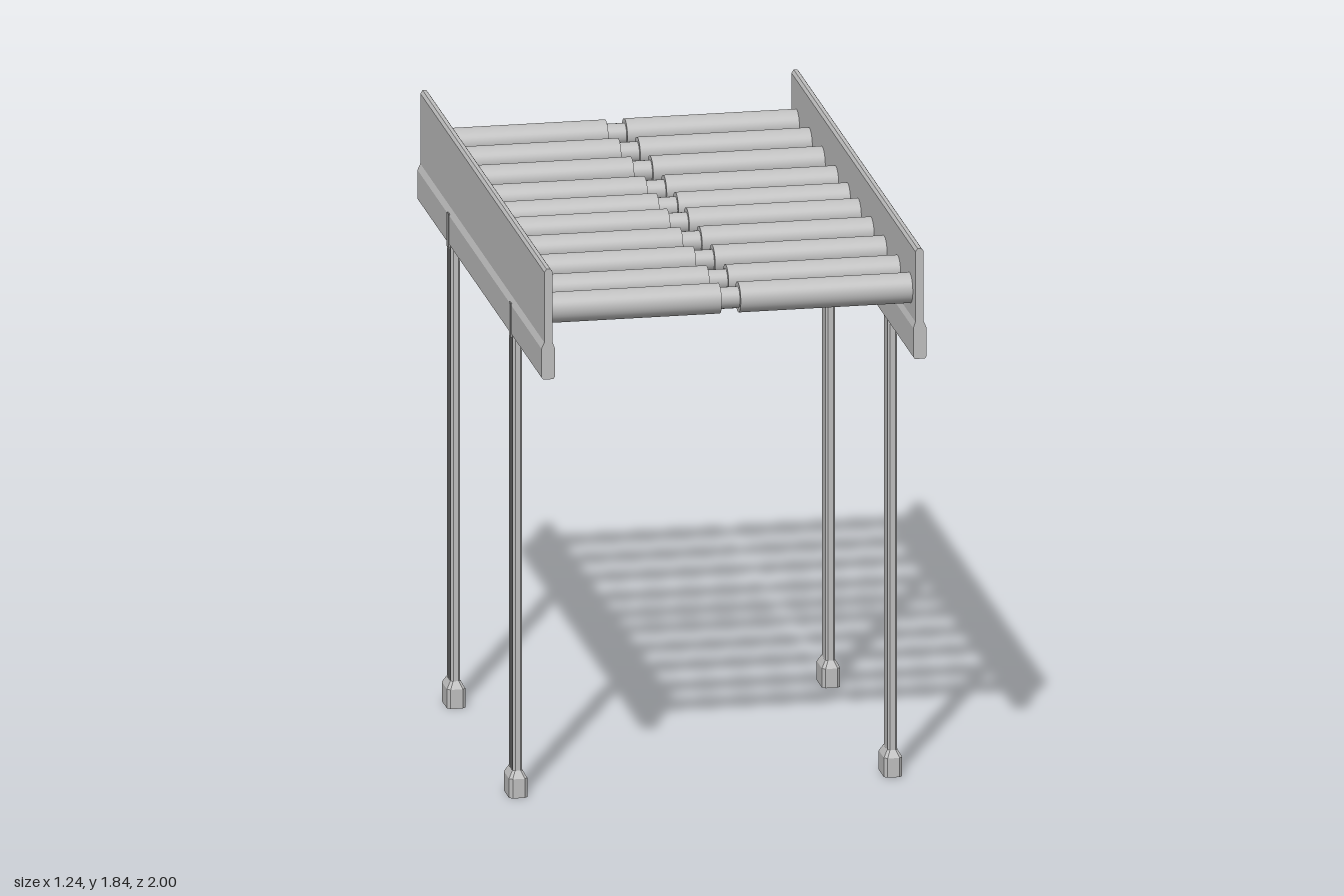
import * as THREE from 'three';

const metal = new THREE.MeshStandardMaterial({ color: 0xbfbfbf, side: THREE.DoubleSide });
metal.name = 'grey metal';

function add(parent, geometry, name, x = 0, y = 0, z = 0) {
  const mesh = new THREE.Mesh(geometry, metal);
  mesh.name = name;
  mesh.position.set(x, y, z);
  parent.add(mesh);
  return mesh;
}

function extrude(points, depth) {
  const shape = new THREE.Shape(points.map(([x, y]) => new THREE.Vector2(x, y)));
  return new THREE.ExtrudeGeometry(shape, { depth, bevelEnabled: false });
}

// Open flat-shaded skin through chamfered rectangles [y, halfX, halfZ, chamfer]
function loft(rings) {
  const pos = [], index = [];
  for (const [y, a, b, c] of rings) {
    for (const [x, z] of [[a, b - c], [a, c - b], [a - c, -b], [c - a, -b],
      [-a, c - b], [-a, b - c], [c - a, b], [a - c, b]]) pos.push(x, y, z);
  }
  for (let r = 0; r < rings.length - 1; r++) {
    for (let i = 0; i < 8; i++) {
      const j = (i + 1) % 8, p = r * 8 + i, q = r * 8 + j;
      index.push(p, q, p + 8, q, q + 8, p + 8);
    }
  }
  const g = new THREE.BufferGeometry();
  g.setAttribute('position', new THREE.Float32BufferAttribute(pos, 3));
  g.setIndex(index);
  const flat = g.toNonIndexed();
  flat.computeVertexNormals();
  return flat;
}

// Side rail with a thick lower lip, plus two legs; built for the +x side
function createSide(name) {
  const side = new THREE.Group();
  side.name = name;

  const rail = extrude([
    [0.572, 1.485], [0.604, 1.485], [0.609, 1.492], [0.609, 1.585], [0.6, 1.605],
    [0.6, 1.832], [0.593, 1.842], [0.581, 1.842], [0.574, 1.832], [0.574, 1.605],
    [0.567, 1.585], [0.567, 1.492],
  ], 2);
  add(side, rail, 'sideRail', 0, 0, -1);

  for (const z of [-0.5, 0.5]) {
    // Leg column with a recessed outer channel
    const column = extrude([
      [-0.015, -0.03], [-0.008, -0.037], [0.008, -0.037], [0.015, -0.029],
      [0.015, -0.016], [0.004, -0.012], [0.004, 0.012], [0.015, 0.016],
      [0.015, 0.029], [0.008, 0.037], [-0.008, 0.037], [-0.015, 0.03],
    ], 1.43);
    column.rotateX(-Math.PI / 2);
    add(side, column, 'leg', 0.593, 0.07, z);

    // Narrow rib that runs up over the rail lip
    add(side, new THREE.BoxGeometry(0.016, 1.51, 0.012), 'legRib', 0.6, 0.835, z);
    for (const s of [-1, 1]) {
      add(side, new THREE.BoxGeometry(0.006, 0.11, 0.005), 'ribClip', 0.609, 1.535, z + s * 0.01);
    }

    // Hollow foot cap, tapering into the leg
    add(side, loft([
      [0.055, 0.024, 0.046, 0.008], [0, 0.024, 0.046, 0.008], [0, 0.029, 0.052, 0.01],
      [0.062, 0.029, 0.052, 0.01], [0.085, 0.016, 0.038, 0.007],
    ]), 'foot', 0.593, 0, z);
  }
  return side;
}

export function createModel() {
  const model = new THREE.Group();
  model.name = 'rollerConveyor';

  model.add(createSide('leftSide'));
  const right = createSide('rightSide');
  right.rotation.y = Math.PI;
  model.add(right);

  // Split rollers joined by a thinner shaft
  const roller = new THREE.CylinderGeometry(0.048, 0.048, 0.546, 32).rotateZ(Math.PI / 2);
  const shaft = new THREE.CylinderGeometry(0.034, 0.034, 0.08, 24).rotateZ(Math.PI / 2);
  const rows = [-0.917, -0.71, -0.502, -0.285, -0.094, 0.08, 0.287, 0.496, 0.714, 0.909];
  for (const z of rows) {
    for (const s of [-1, 1]) add(model, roller, 'roller', s * 0.303, 1.69, z);
    add(model, shaft, 'rollerShaft', 0, 1.69, z);
  }
  return model;
}
